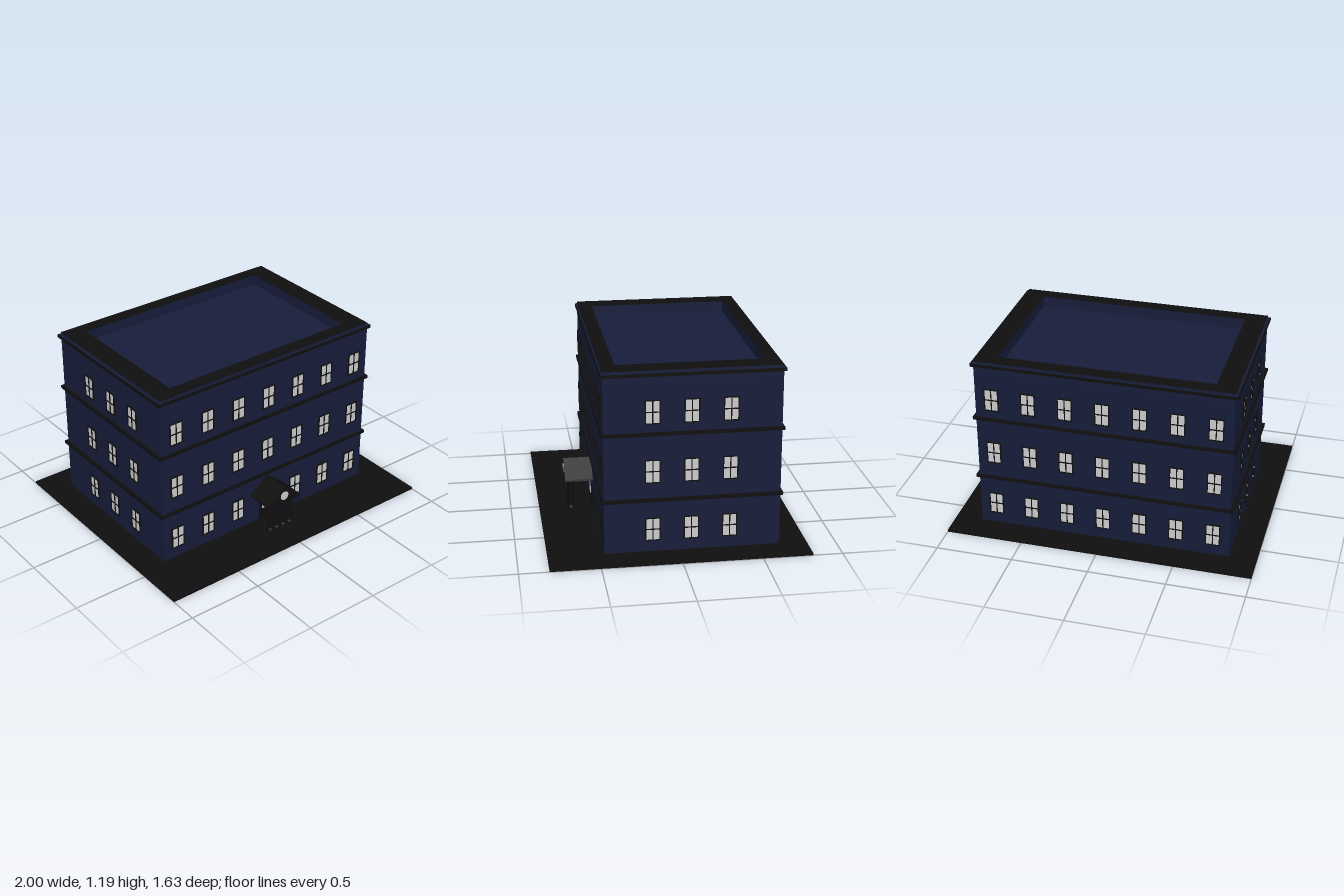
import * as THREE from 'three';

const navy = new THREE.MeshStandardMaterial({ color: 0x171d3a });
const black = new THREE.MeshStandardMaterial({ color: 0x0f0f0f });
const glass = new THREE.MeshStandardMaterial({ color: 0xcccccc });

const HX = 0.823, HZ = 0.549, CZ = -0.087; // wall half sizes and centre depth
const TOP = 1.187, ROOF = 1.115;

function add(parent, name, geo, mat, x = 0, y = 0, z = 0) {
  const mesh = new THREE.Mesh(geo, mat);
  mesh.name = name;
  mesh.position.set(x, y, z);
  parent.add(mesh);
  return mesh;
}

function rect(target, x0, y0, x1, y1) {
  target.moveTo(x0, y0);
  target.lineTo(x1, y0);
  target.lineTo(x1, y1);
  target.lineTo(x0, y1);
  target.closePath();
  return target;
}

// Flat rectangular ring, its bottom at y = 0
function ringGeometry(ox, oz, ix, iz, h) {
  const s = rect(new THREE.Shape(), -ox, -oz, ox, oz);
  s.holes.push(rect(new THREE.Path(), -ix, -iz, ix, iz));
  return new THREE.ExtrudeGeometry(s, { depth: h, bevelEnabled: false }).rotateX(-Math.PI / 2);
}

// Four-pane window frame
const W = 0.047, H = 0.076, B = 0.006, M = 0.003;
const frameShape = rect(new THREE.Shape(), -W, -H, W, H);
for (const sx of [-1, 1]) for (const sy of [-1, 1]) {
  const xs = [sx * M, sx * (W - B)].sort((a, b) => a - b);
  const ys = [sy * M, sy * (H - B)].sort((a, b) => a - b);
  frameShape.holes.push(rect(new THREE.Path(), xs[0], ys[0], xs[1], ys[1]));
}
const frameGeo = new THREE.ExtrudeGeometry(frameShape, { depth: 0.009, bevelEnabled: false });
const paneGeo = new THREE.BoxGeometry(2 * W - 0.004, 2 * H - 0.004, 0.004);

function makeWindow() {
  const g = new THREE.Group();
  g.name = 'window';
  add(g, 'windowFrame', frameGeo, black);
  add(g, 'windowPane', paneGeo, glass, 0, 0, 0.002);
  return g;
}

function makePortico() {
  const g = new THREE.Group();
  g.name = 'portico';
  // Gabled roof with sloping eaves
  const s = new THREE.Shape([[-0.11, 0.215], [0.11, 0.215], [0.134, 0.222], [0.13, 0.235],
    [0, 0.34], [-0.13, 0.235], [-0.134, 0.222]].map(p => new THREE.Vector2(...p)));
  add(g, 'porticoRoof', new THREE.ExtrudeGeometry(s, { depth: 0.185, bevelEnabled: false }), black, 0, 0, 0.46);
  add(g, 'roundWindow', new THREE.CylinderGeometry(0.031, 0.031, 0.004, 32).rotateX(Math.PI / 2), glass, 0, 0.272, 0.645);
  // Columns with base and capital
  const profile = [[0, 0.012], [0.026, 0.012], [0.026, 0.025], [0.02, 0.035], [0.017, 0.04],
    [0.017, 0.196], [0.024, 0.204], [0.024, 0.216], [0, 0.216]].map(p => new THREE.Vector2(...p));
  const column = new THREE.LatheGeometry(profile, 16);
  for (const x of [-0.08, -0.027, 0.027, 0.08]) add(g, 'column', column, black, x, 0, 0.605);
  // Door with a glazed upper half
  add(g, 'door', new THREE.BoxGeometry(0.12, 0.203, 0.012), black, 0, 0.113, 0.462);
  for (const x of [-0.021, 0.021])
    add(g, 'doorGlass', new THREE.BoxGeometry(0.036, 0.1, 0.004), glass, x, 0.143, 0.468);
  return g;
}

export function createModel() {
  const model = new THREE.Group();
  model.name = 'officeBuilding';
  add(model, 'ground', new THREE.BoxGeometry(2, 0.014, 1.626), black, 0, 0.007, 0);

  // Walls, recessed roof and parapet
  add(model, 'walls', new THREE.BoxGeometry(2 * HX, ROOF - 0.01, 2 * HZ), navy, 0, (ROOF + 0.01) / 2, CZ);
  add(model, 'parapet', ringGeometry(HX, HZ, 0.69, 0.46, TOP - ROOF - 0.002), navy, 0, ROOF, CZ);
  add(model, 'parapetCap', ringGeometry(HX, HZ, 0.69, 0.46, 0.002), black, 0, TOP - 0.002, CZ);

  // Bands above each storey
  const band = ringGeometry(HX + 0.019, HZ + 0.013, HX - 0.01, HZ - 0.01, 0.02);
  for (const y of [0.348, 0.775, 1.15]) add(model, 'storeyBand', band, black, 0, y, CZ);
  add(model, 'bandFlashing', ringGeometry(HX + 0.012, HZ + 0.008, HX - 0.005, HZ - 0.005, 0.002), navy, 0, 1.169, CZ);

  // Windows on all four sides
  const place = (x, y, z, turn) => {
    const w = makeWindow();
    w.position.set(x, y, z);
    w.rotation.y = turn;
    model.add(w);
  };
  [0.163, 0.544, 0.925].forEach((y, floor) => {
    for (let i = -3; i <= 3; i++) {
      if (floor > 0 || i !== 0) place(i * 0.2385, y, CZ + HZ, 0);
      place(i * 0.2385, y, CZ - HZ, Math.PI);
    }
    for (let i = -1; i <= 1; i++) for (const s of [-1, 1])
      place(s * HX, y, -0.078 + i * 0.24, s * Math.PI / 2);
  });

  model.add(makePortico());
  return model;
}
